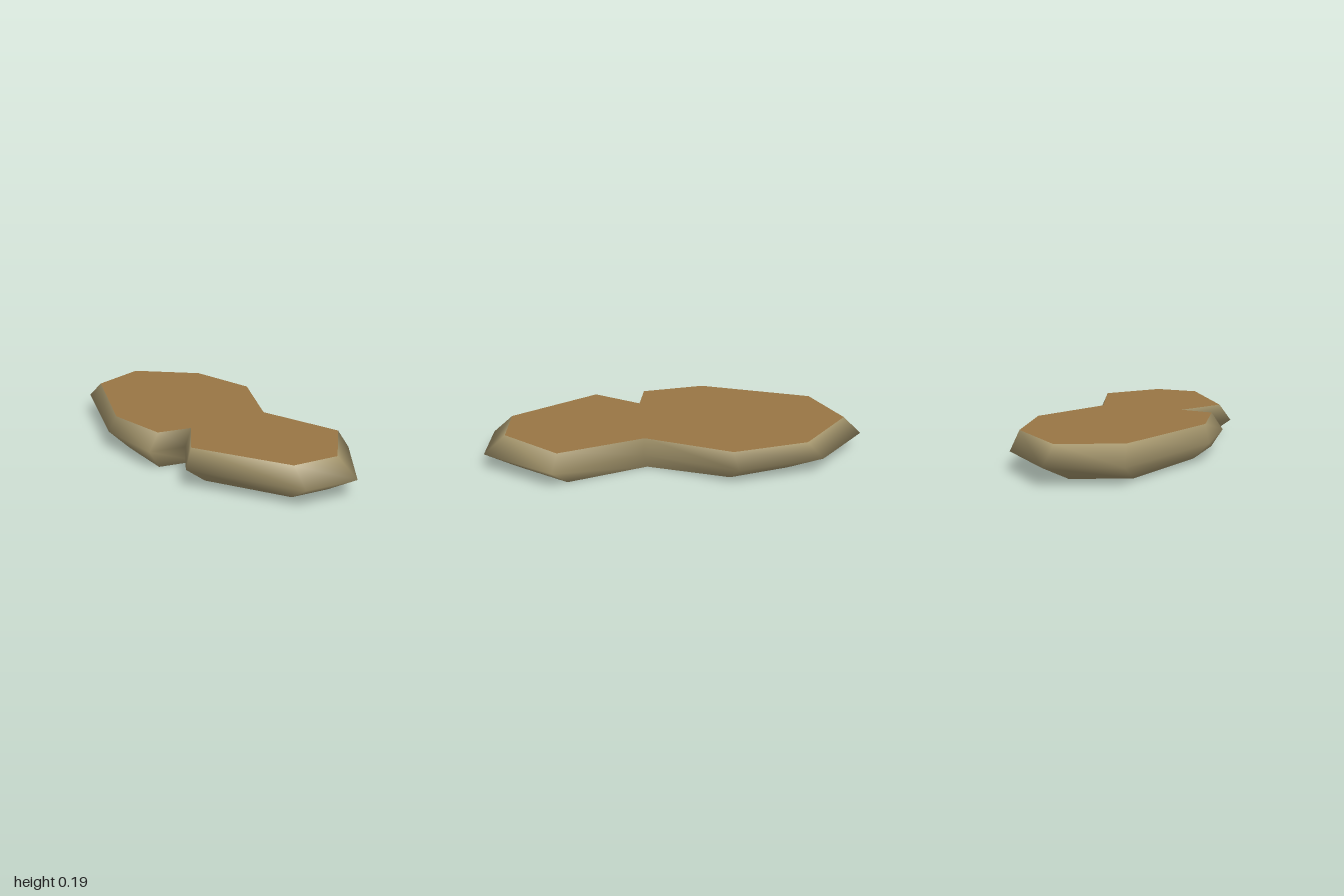
import * as THREE from 'three';

// Outline rings as [x, z], all running the same way round with matching corners
const TOP = [[-0.14, -0.83], [0.18, -0.91], [0.435, -0.61], [0.46, -0.21], [0.2, 0.19], [0.275, 0.65],
  [0, 0.885], [-0.24, 0.83], [-0.44, 0.34], [-0.255, 0.125], [-0.425, 0.065], [-0.43, -0.28]];
const MIDDLE = [[-0.15, -0.93], [0.21, -1], [0.46, -0.69], [0.495, -0.23], [0.205, 0.2], [0.32, 0.685],
  [0.015, 1], [-0.26, 0.93], [-0.5, 0.37], [-0.3, 0.13], [-0.485, 0.07], [-0.455, -0.32]];
const BOTTOM = [[-0.15, -0.73], [0.14, -0.8], [0.335, -0.545], [0.375, -0.22], [0.16, 0.17], [0.24, 0.6],
  [0, 0.835], [-0.2, 0.785], [-0.37, 0.36], [-0.22, 0.14], [-0.425, 0.07], [-0.37, -0.25]];
const HEIGHT = 0.185, RIM = 0.095;

function buildGeometry(positions, index) {
  const geometry = new THREE.BufferGeometry();
  geometry.setAttribute('position', new THREE.Float32BufferAttribute(positions, 3));
  geometry.setIndex(index);
  geometry.computeVertexNormals();
  return geometry;
}

const lift = (ring, y) => ring.flatMap(([x, z]) => [x, y, z]);

// Flat face filling a ring
function cap(ring, y, facesUp) {
  const triangles = THREE.ShapeUtils.triangulateShape(ring.map(([x, z]) => new THREE.Vector2(x, z)), []);
  const index = triangles.flatMap(([a, b, c]) => (facesUp ? [a, c, b] : [a, b, c]));
  return buildGeometry(lift(ring, y), index);
}

// Smooth band through rings stacked from bottom to top
function band(rings, heights) {
  const n = rings[0].length, index = [];
  for (let r = 0; r < rings.length - 1; r++) {
    for (let i = 0; i < n; i++) {
      const j = (i + 1) % n;
      const a0 = r * n + i, a1 = r * n + j, b0 = a0 + n, b1 = a1 + n;
      index.push(a0, b0, b1, a0, b1, a1);
    }
  }
  return buildGeometry(rings.flatMap((ring, r) => lift(ring, heights[r])), index);
}

export function createModel() {
  const brown = new THREE.MeshStandardMaterial({ color: 0x997645 });
  brown.name = 'brown';
  const tan = new THREE.MeshStandardMaterial({ color: 0xa8996f });
  tan.name = 'tan';

  const model = new THREE.Group();
  model.name = 'slab';
  const add = (name, geometry, material) => {
    const mesh = new THREE.Mesh(geometry, material);
    mesh.name = name;
    model.add(mesh);
  };

  add('topFace', cap(TOP, HEIGHT, true), brown);
  add('bevelledRim', band([BOTTOM, MIDDLE, TOP], [0, RIM, HEIGHT]), tan);
  add('bottomFace', cap(BOTTOM, 0, false), brown);
  return model;
}
